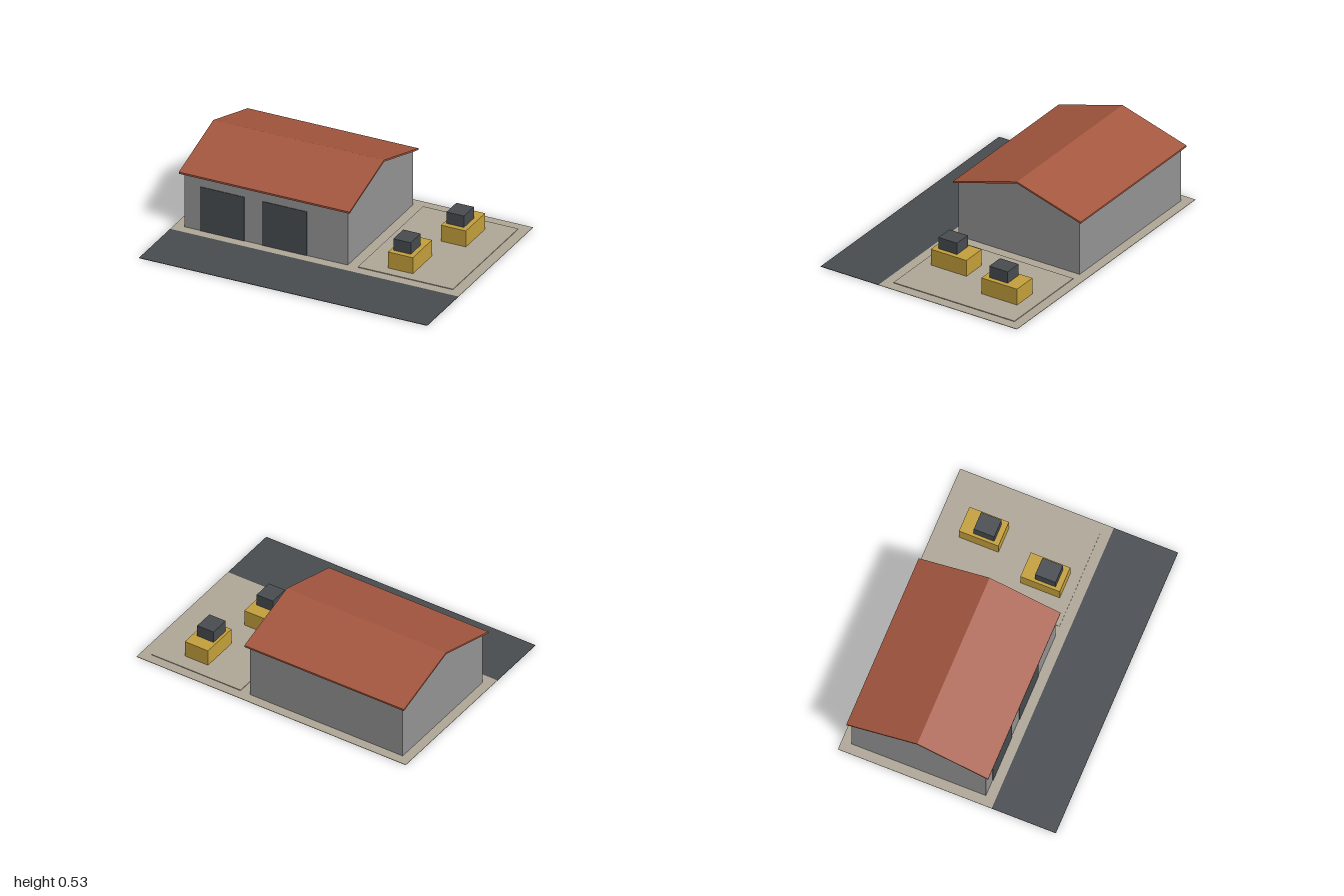
import * as THREE from 'three';

const mat = (name, color) => {
  const m = new THREE.MeshStandardMaterial({ color });
  m.name = name;
  return m;
};

export function createModel() {
  const model = new THREE.Group();
  model.name = 'depot';
  const gravel = mat('gravel', 0xb0a898);
  const dark = mat('dark grey', 0x484c50);
  const wall = mat('wall grey', 0x949494);
  const tile = mat('roof red', 0xa5573f);
  const yellow = mat('machine yellow', 0xc4a03c);

  // Box given by its limits along each axis
  const box = (name, material, [x0, x1], [y0, y1], [z0, z1], parent = model) => {
    const mesh = new THREE.Mesh(new THREE.BoxGeometry(x1 - x0, y1 - y0, z1 - z0), material);
    mesh.position.set((x0 + x1) / 2, (y0 + y1) / 2, (z0 + z1) / 2);
    mesh.name = name;
    parent.add(mesh);
    return mesh;
  };

  // Prism along x from a profile of [z, y] points
  const prism = (name, material, points, x0, x1) => {
    const shape = new THREE.Shape(points.map(([z, y]) => new THREE.Vector2(-z, y)));
    const geo = new THREE.ExtrudeGeometry(shape, { depth: x1 - x0, bevelEnabled: false });
    geo.rotateY(Math.PI / 2).translate(x0, 0, 0);
    const mesh = new THREE.Mesh(geo, material);
    mesh.name = name;
    model.add(mesh);
  };

  // Ground, road and raised yard pad
  box('ground', gravel, [-1, 1], [0, 0.003], [-0.73, 0.3]);
  box('road', dark, [-1, 1], [0, 0.003], [0.3, 0.73]);
  box('yardPad', gravel, [0.27, 0.93], [0.003, 0.008], [-0.665, 0.235]);

  // Gabled building
  const ridge = -0.215, front = 0.235, back = -0.665;
  prism('walls', wall,
    [[front, 0.003], [back, 0.003], [back, 0.386], [ridge, 0.52], [front, 0.386]], -0.935, 0.2);

  // Pitched roof with overhang
  prism('roof', tile,
    [[0.26, 0.38], [0.26, 0.392], [ridge, 0.533], [-0.69, 0.392], [-0.69, 0.38], [ridge, 0.521]],
    -0.96, 0.225);

  // Garage doors
  for (const [x0, x1] of [[-0.825, -0.517], [-0.392, -0.083]]) {
    box('garageDoor', dark, [x0, x1], [0.003, 0.31], [front, front + 0.004]);
  }

  // Parked machines: body with offset cab
  for (const [x, z] of [[0.53, 0.033], [0.664, -0.433]]) {
    const machine = new THREE.Group();
    machine.name = 'machine';
    machine.position.set(x, 0, z);
    box('machineBody', yellow, [-0.086, 0.086], [0.008, 0.12], [-0.132, 0.132], machine);
    box('machineCab', dark, [-0.067, 0.054], [0.12, 0.2], [-0.041, 0.096], machine);
    model.add(machine);
  }

  return model;
}
